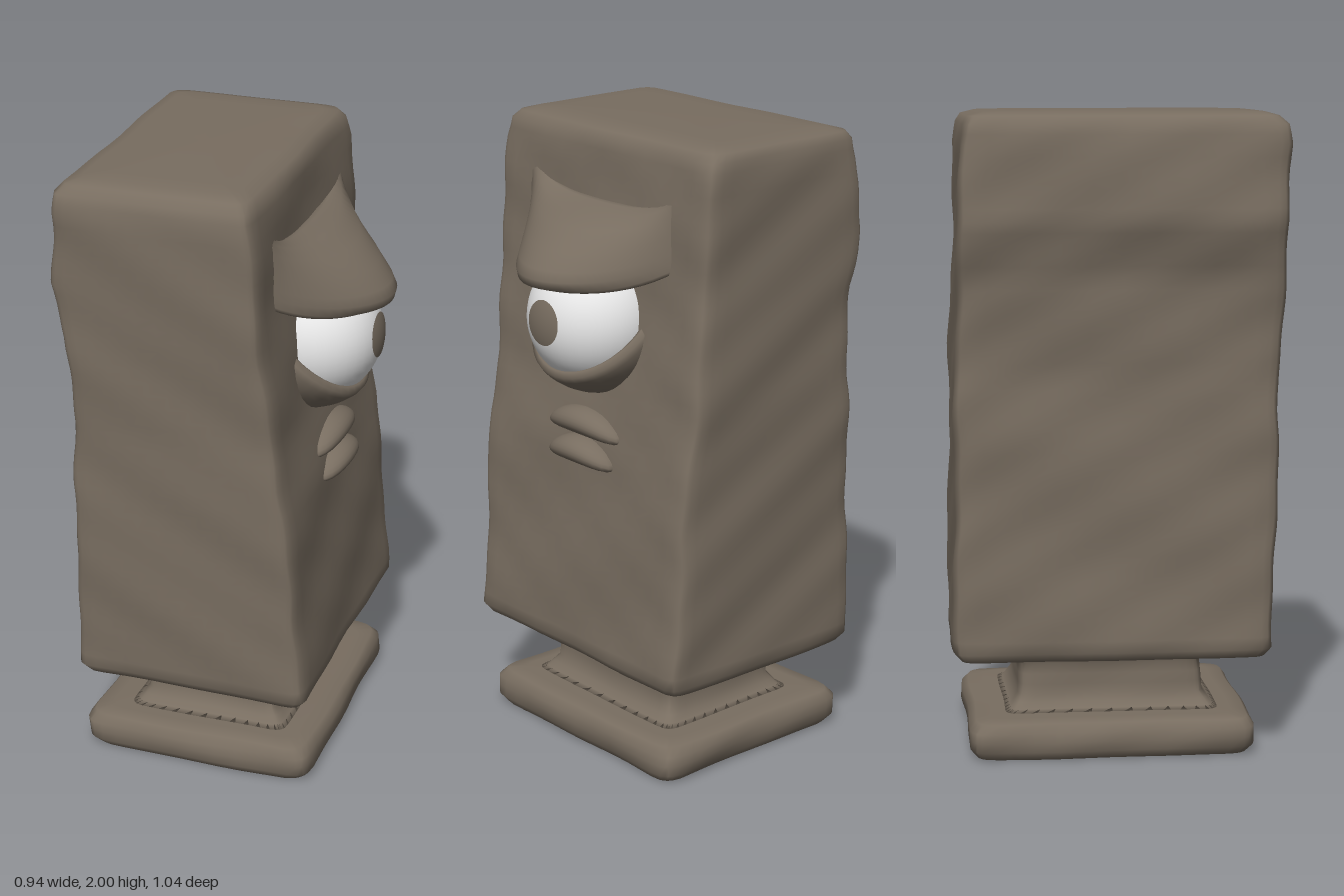
import * as THREE from 'three';

const stone = new THREE.MeshStandardMaterial({ color: 0x786d60 });
stone.name = 'stone brown';
const white = new THREE.MeshStandardMaterial({ color: 0xf0f0f0 });
white.name = 'eye white';

// Skin over closed rings; each ring runs counter-clockwise seen from the end it advances to
function loft(rings) {
  const n = rings[0].length, pos = [], idx = [];
  rings.forEach(r => r.forEach(p => pos.push(...p)));
  for (let k = 0; k < rings.length - 1; k++) {
    for (let i = 0; i < n; i++) {
      const a = k * n + i, b = k * n + (i + 1) % n;
      idx.push(a, b, b + n, a, b + n, a + n);
    }
  }
  const cap = (ring, start, flip) => {
    const c = pos.length / 3;
    pos.push(...[0, 1, 2].map(d => ring.reduce((s, p) => s + p[d], 0) / n));
    for (let i = 0; i < n; i++) {
      const a = start + i, b = start + (i + 1) % n;
      if (flip) idx.push(c, b, a); else idx.push(c, a, b);
    }
  };
  cap(rings[0], 0, true);
  cap(rings[rings.length - 1], (rings.length - 1) * n, false);
  const g = new THREE.BufferGeometry();
  g.setAttribute('position', new THREE.Float32BufferAttribute(pos, 3));
  g.setIndex(idx);
  g.computeVertexNormals();
  return g;
}

// Rounded rectangle ring with a little hand-carved waviness
function rectRing([y, x0, x1, z0, z1], radius, rough) {
  const hx = (x1 - x0) / 2, hz = (z1 - z0) / 2, cx = (x0 + x1) / 2, cz = (z0 + z1) / 2;
  const side = 16, ring = [];
  const corners = [[1, 1], [1, -1], [-1, -1], [-1, 1]];
  const r = Math.min(radius, hx, hz);
  for (let s = 0; s < 4; s++) {
    const [ax, az] = corners[s], [bx, bz] = corners[(s + 1) % 4];
    for (let i = 0; i < side; i++) {
      const t = (1 - Math.cos(Math.PI * i / side)) / 2;
      const px = (ax + (bx - ax) * t) * hx, pz = (az + (bz - az) * t) * hz;
      const ix = THREE.MathUtils.clamp(px, r - hx, hx - r);
      const iz = THREE.MathUtils.clamp(pz, r - hz, hz - r);
      const len = Math.hypot(px - ix, pz - iz) || 1;
      const x = cx + ix + (px - ix) / len * r, z = cz + iz + (pz - iz) / len * r;
      ring.push([
        x + rough * (Math.sin(13 * y + 7 * z) + 0.6 * Math.sin(29 * y - 17 * z + 1)),
        y,
        z + rough * (Math.sin(11 * y + 8 * x + 2) + 0.6 * Math.sin(27 * y + 15 * x)),
      ]);
    }
  }
  return ring;
}

// Block through key sections [y, x0, x1, z0, z1]
function block(keys, radius, rough) {
  const rings = [];
  keys.forEach((k, i) => {
    const next = keys[i + 1];
    const steps = next ? Math.max(1, Math.ceil((next[0] - k[0]) / 0.04)) : 1;
    for (let s = 0; s < steps; s++) {
      rings.push(rectRing(next ? k.map((v, d) => v + (next[d] - v) * s / steps) : k, radius, rough));
    }
  });
  return loft(rings);
}

// Lip: flattened ball, drooping at both ends
function lipGeometry(rx, ry, half, arch) {
  const g = new THREE.SphereGeometry(1, 24, 14).scale(rx, ry, half);
  const p = g.attributes.position;
  for (let i = 0; i < p.count; i++) {
    const u = p.getZ(i) / half;
    p.setY(i, p.getY(i) - arch * u * u);
  }
  g.computeVertexNormals();
  return g;
}

export function createModel() {
  const model = new THREE.Group();
  const add = (name, geometry, material, x = 0, y = 0, z = 0) => {
    const mesh = new THREE.Mesh(geometry, material);
    mesh.name = name;
    mesh.position.set(x, y, z);
    model.add(mesh);
    return mesh;
  };

  // Leaning stone block, wider at the foot
  add('body', block([
    [0.31, -0.30, 0.22, -0.38, 0.34],
    [0.312, -0.41, 0.32, -0.50, 0.45],
    [0.34, -0.43, 0.34, -0.52, 0.47],
    [0.60, -0.42, 0.32, -0.515, 0.48],
    [1.00, -0.42, 0.285, -0.51, 0.49],
    [1.20, -0.41, 0.25, -0.51, 0.49],
    [1.50, -0.425, 0.215, -0.50, 0.505],
    [1.67, -0.465, 0.20, -0.495, 0.51],
    [1.90, -0.45, 0.18, -0.49, 0.515],
    [1.96, -0.44, 0.17, -0.48, 0.505],
    [1.985, -0.42, 0.15, -0.465, 0.48],
    [1.997, -0.38, 0.11, -0.42, 0.44],
    [2.00, -0.30, 0.04, -0.34, 0.36],
  ], 0.045, 0.004), stone);

  // Foot slab
  add('base', block([
    [0, -0.33, 0.24, -0.38, 0.33],
    [0.003, -0.41, 0.315, -0.45, 0.40],
    [0.03, -0.43, 0.335, -0.47, 0.42],
    [0.09, -0.43, 0.335, -0.47, 0.42],
    [0.115, -0.41, 0.315, -0.45, 0.40],
    [0.122, -0.36, 0.27, -0.40, 0.35],
  ], 0.06, 0.004), stone);

  // Neck flaring into slab and block
  add('neck', block([
    [0.11, -0.33, 0.25, -0.38, 0.34],
    [0.13, -0.29, 0.21, -0.34, 0.30],
    [0.17, -0.265, 0.18, -0.315, 0.27],
    [0.27, -0.26, 0.175, -0.31, 0.265],
    [0.30, -0.275, 0.19, -0.325, 0.28],
    [0.325, -0.30, 0.22, -0.35, 0.31],
  ], 0.04, 0.002), stone);

  // Heavy overhanging brow: one profile, shrinking towards both ends
  const browProfile = [[0.13, 1.80], [0.20, 1.775], [0.26, 1.755], [0.34, 1.72], [0.41, 1.66],
    [0.455, 1.605], [0.47, 1.575], [0.463, 1.548], [0.43, 1.538], [0.36, 1.55], [0.28, 1.575], [0.13, 1.60]];
  const browRings = [];
  for (let i = 0; i <= 28; i++) {
    const u = 1 - i / 14, k = Math.max(0.02, Math.cos(u * Math.PI / 2));
    browRings.push(browProfile.map(([x, y]) =>
      [0.18 + (x - 0.18) * k, y + 0.07 * u ** 4 + 0.015 * u * u, 0.355 * u]));
  }
  add('brow', loft(browRings), stone);

  // Eye
  add('eyeball', new THREE.SphereGeometry(0.215, 40, 28), white, 0.215, 1.415, 0);
  const iris = add('iris', new THREE.SphereGeometry(0.22, 32, 8, 0, Math.PI * 2, 0, 0.33), stone, 0.215, 1.415, 0);
  iris.rotation.z = -Math.PI / 2 + 0.06;

  // Lower eyelid: half shell tilted under the eye
  const lid = [];
  for (let i = 0; i <= 14; i++) {
    const a = i / 14 * (Math.PI / 2 - 0.08);
    lid.push(new THREE.Vector2(0.25 * Math.sin(a), -0.25 * Math.cos(a)));
  }
  [[0.247, 0.002], [0.23, 0.012], [0.213, 0.005], [0.205, -0.02]].forEach(p => lid.push(new THREE.Vector2(...p)));
  add('lowerEyelid', new THREE.LatheGeometry(lid, 40), stone, 0.205, 1.42, 0).rotation.z = -Math.PI / 4;

  // Thin frowning mouth
  add('upperLip', lipGeometry(0.065, 0.045, 0.17, 0.03), stone, 0.265, 1.085, -0.015);
  add('lowerLip', lipGeometry(0.07, 0.045, 0.15, 0.03), stone, 0.28, 0.995, -0.015);

  return model;
}
